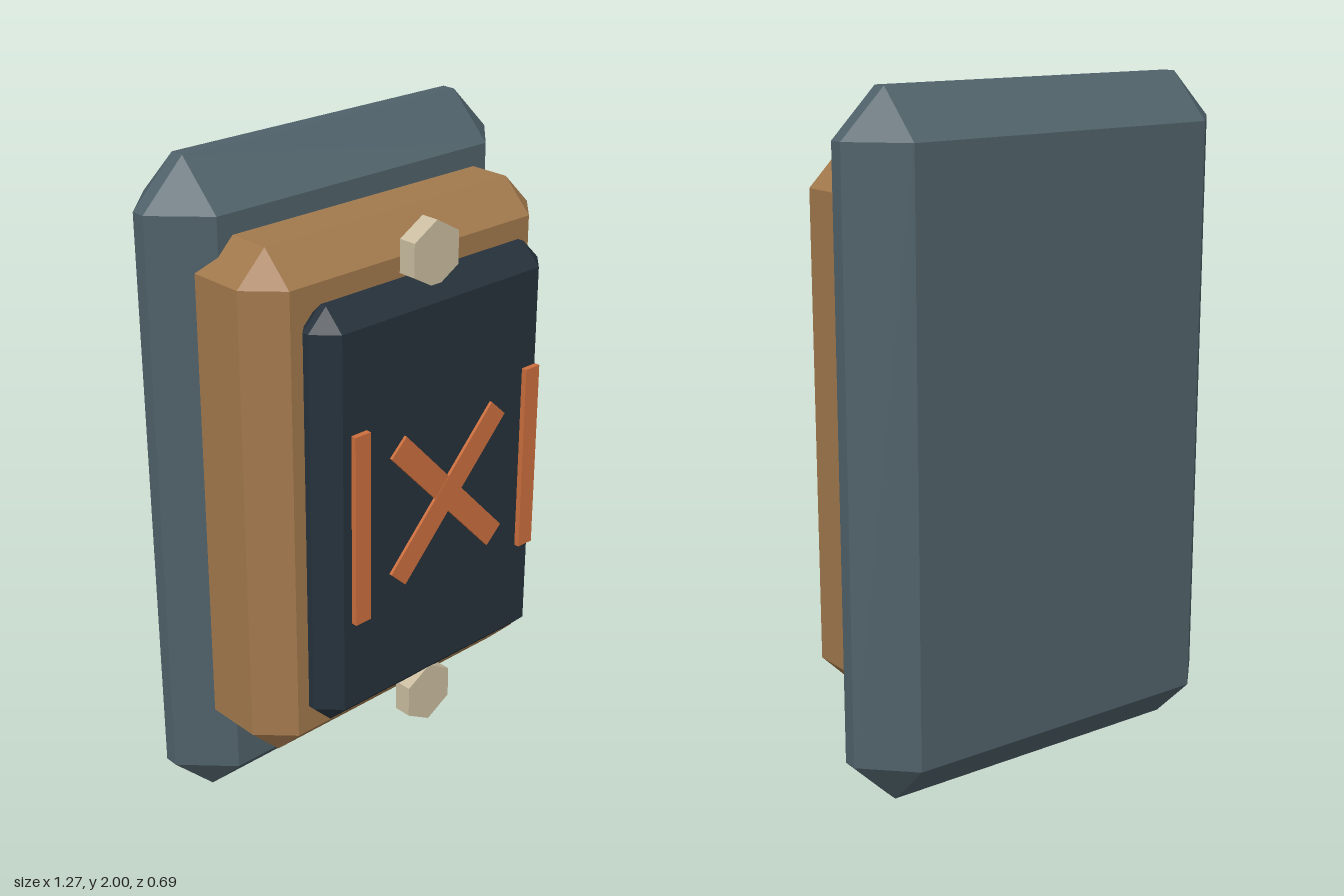
import * as THREE from 'three';
import { ConvexGeometry } from 'three/addons/geometries/ConvexGeometry.js';

function material(name, color) {
  const m = new THREE.MeshStandardMaterial({ color });
  m.name = name;
  return m;
}

// Box with all edges cut at 45 degrees and triangular corners
function chamferedBox(w, h, d, c) {
  const points = [];
  for (const sx of [-1, 1]) for (const sy of [-1, 1]) for (const sz of [-1, 1]) {
    const x = w / 2, y = h / 2, z = d / 2;
    points.push(
      new THREE.Vector3(sx * x, sy * (y - c), sz * (z - c)),
      new THREE.Vector3(sx * (x - c), sy * y, sz * (z - c)),
      new THREE.Vector3(sx * (x - c), sy * (y - c), sz * z),
    );
  }
  return new ConvexGeometry(points);
}

export function createModel() {
  const group = new THREE.Group();
  group.name = 'wallPanel';

  const slate = material('slate', 0x4f6169);
  const bronze = material('bronze', 0xa1784c);
  const navy = material('navy', 0x25313b);
  const bone = material('bone', 0xcabda0);
  const orange = material('orange', 0xcb6e3d);

  const add = (name, geometry, mat, x, y, z) => {
    const mesh = new THREE.Mesh(geometry, mat);
    mesh.name = name;
    mesh.position.set(x, y, z);
    group.add(mesh);
    return mesh;
  };

  // Three stacked slabs, back to front
  add('backPlate', chamferedBox(1.27, 2, 0.313, 0.135), slate, 0, 1, -0.1865);
  add('frame', chamferedBox(1.09, 1.56, 0.37, 0.095), bronze, 0, 1.025, 0.01);
  add('facePanel', chamferedBox(0.87, 1.275, 0.145, 0.062), navy, 0, 1.0275, 0.2365);

  // Hexagonal bolts above and below the face panel
  const boltGeometry = new THREE.CylinderGeometry(0.096, 0.096, 0.056, 6).toNonIndexed();
  boltGeometry.computeVertexNormals();
  boltGeometry.rotateX(Math.PI / 2);
  add('upperBolt', boltGeometry, bone, 0, 1.723, 0.246);
  add('lowerBolt', boltGeometry, bone, 0, 0.325, 0.246);

  // Upright bars on both sides
  const barGeometry = new THREE.BoxGeometry(0.055, 0.577, 0.017);
  add('leftBar', barGeometry, orange, 0.33, 1.03, 0.3335);
  add('rightBar', barGeometry, orange, -0.33, 1.03, 0.3335);

  // Crossed strips in the middle
  const stripGeometry = new THREE.BoxGeometry(0.565, 0.075, 0.009);
  for (const side of [-1, 1]) {
    const strip = add(side < 0 ? 'fallingStrip' : 'risingStrip', stripGeometry, orange, 0, 1.028, 0.334 + side * 0.0005);
    strip.rotation.z = side * 0.815;
  }

  return group;
}
